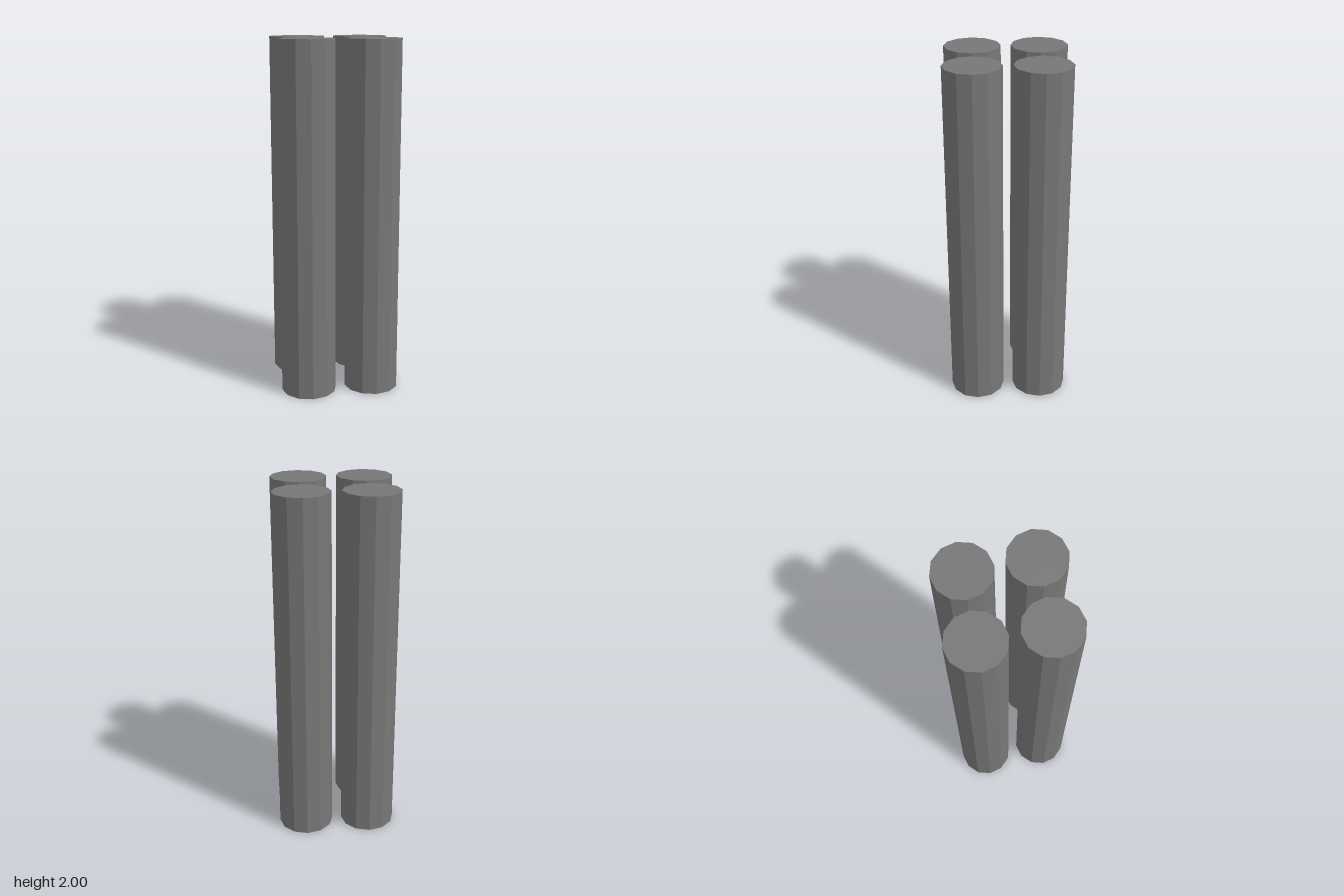
import * as THREE from 'three';

const RADIUS = 0.157, HEIGHT = 2, SIDES = 12, OFFSET = 0.26;

export function createModel() {
  const group = new THREE.Group();
  group.name = 'columnCluster';
  const grey = new THREE.MeshStandardMaterial({ color: 0x777777, flatShading: true, side: THREE.DoubleSide });
  grey.name = 'grey';

  // Twelve-sided column with flats facing the axes; optionally without its bottom cap
  function column(name, x, z, openBottom) {
    const geometry = new THREE.CylinderGeometry(RADIUS, RADIUS, HEIGHT, SIDES, 1, openBottom, Math.PI / SIDES);
    const mesh = new THREE.Mesh(geometry, grey);
    mesh.name = name;
    mesh.position.set(x, HEIGHT / 2, z);
    group.add(mesh);
  }

  column('leftColumn', OFFSET, 0, false);
  column('rightColumn', -OFFSET, 0, false);
  column('backColumn', 0, -OFFSET, false);
  column('frontColumn', 0, OFFSET, true);

  // Top cap of the front column, which is open underneath
  const cap = new THREE.Mesh(new THREE.CircleGeometry(RADIUS, SIDES, Math.PI / SIDES), grey);
  cap.name = 'frontColumnTop';
  cap.rotation.x = -Math.PI / 2;
  cap.position.set(0, HEIGHT, OFFSET);
  group.add(cap);

  return group;
}
